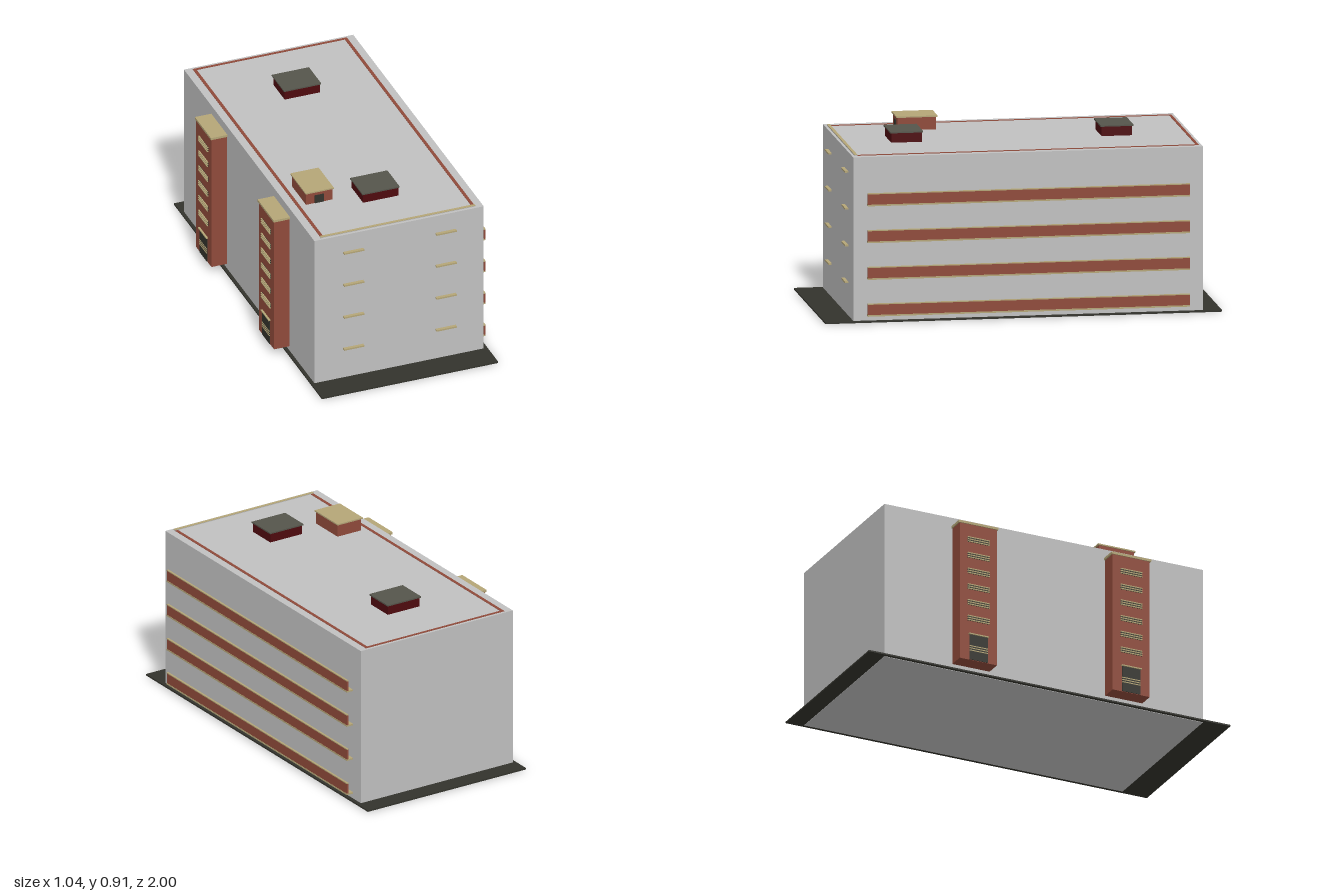
import * as THREE from 'three';

const mat = (name, color) => {
  const m = new THREE.MeshStandardMaterial({ color });
  m.name = name;
  return m;
};

export function createModel() {
  const wall = mat('light grey wall', 0xc0c0c0);
  const brick = mat('red brick', 0x8f4a3a);
  const tan = mat('tan trim', 0xb4a577);
  const dark = mat('dark asphalt', 0x33332c);
  const maroon = mat('maroon', 0x4e0a0e);
  const slate = mat('slate cap', 0x55554b);

  const model = new THREE.Group();
  model.name = 'apartmentBlock';

  // Box given by its limits on each axis
  const box = (parent, name, material, [x0, x1], [y0, y1], [z0, z1]) => {
    const mesh = new THREE.Mesh(new THREE.BoxGeometry(x1 - x0, y1 - y0, z1 - z0), material);
    mesh.position.set((x0 + x1) / 2, (y0 + y1) / 2, (z0 + z1) / 2);
    mesh.name = name;
    parent.add(mesh);
    return mesh;
  };
  const group = (name) => {
    const g = new THREE.Group();
    g.name = name;
    model.add(g);
    return g;
  };

  // Ground and main block
  const roofY = 0.837;
  box(model, 'ground', dark, [-0.442, 0.5], [0.002, 0.01], [-1, 1]);
  box(model, 'mainBlock', wall, [-0.425, 0.48], [0, roofY], [-0.907, 0.856]);

  // Roof edging: flat brick lines on three sides, raised kerb at the front
  const edging = group('roofEdging');
  const lineY = [roofY, roofY + 0.002];
  box(edging, 'leftLine', brick, [0.424, 0.44], lineY, [-0.893, 0.828]);
  box(edging, 'rightLine', brick, [-0.384, -0.368], lineY, [-0.893, 0.828]);
  box(edging, 'backLine', brick, [-0.368, 0.424], lineY, [-0.893, -0.879]);
  box(edging, 'frontKerb', wall, [-0.386, 0.441], [roofY, 0.841], [0.828, 0.843]);
  box(edging, 'kerbTop', tan, [-0.386, 0.441], [0.841, 0.843], [0.828, 0.843]);

  // Roof stair house with door
  const house = group('roofStairHouse');
  box(house, 'houseWalls', brick, [-0.336, -0.195], [roofY, 0.901], [0.325, 0.518]);
  box(house, 'houseCap', tan, [-0.341, -0.19], [0.901, 0.908], [0.318, 0.525]);
  box(house, 'houseDoor', dark, [-0.29, -0.24], [roofY, 0.882], [0.518, 0.521]);

  // Roof vents
  for (const z of [-0.533, 0.527]) {
    const vent = group('roofVent');
    box(vent, 'ventWalls', maroon, [-0.065, 0.123], [roofY, 0.885], [z - 0.077, z + 0.077]);
    box(vent, 'ventCap', slate, [-0.071, 0.128], [0.885, 0.892], [z - 0.083, z + 0.083]);
  }

  // Four storeys: long balcony on the left side, two ledges on the front
  for (let i = 0; i < 4; i++) {
    const y = 0.036 + i * 0.186;
    const balcony = group('balcony');
    const z = [-0.836, 0.788];
    box(balcony, 'balconySlab', tan, [0.48, 0.517], [y, y + 0.008], z);
    box(balcony, 'balconyRail', brick, [0.508, 0.516], [y + 0.008, y + 0.06], z);
    box(balcony, 'railCap', tan, [0.507, 0.517], [y + 0.06, y + 0.065], z);
    for (const x of [-0.218, 0.276]) {
      const ly = 0.174 + i * 0.186;
      box(model, 'frontLedge', tan, [x - 0.054, x + 0.054], [ly, ly + 0.008], [0.856, 0.873]);
    }
  }

  // Stair towers on the right side
  for (const z of [-0.428, 0.418]) {
    const tower = group('stairTower');
    const span = (half) => [z - half, z + half];
    box(tower, 'towerWalls', brick, [-0.508, -0.425], [0.036, 0.778], span(0.103));
    box(tower, 'towerCap', tan, [-0.513, -0.425], [0.778, 0.79], span(0.109));

    // Louvred windows
    for (let i = 0; i < 6; i++) {
      const y = 0.25 + i * 0.0862;
      box(tower, 'windowPane', dark, [-0.51, -0.508], [y, y + 0.028], span(0.06));
      for (let k = 0; k < 3; k++) {
        const by = y + k * 0.0115;
        box(tower, 'windowLouvre', tan, [-0.515, -0.508], [by, by + 0.005], span(0.06));
      }
    }

    // Entrance door with lattice bars and canopy
    box(tower, 'entranceDoor', dark, [-0.512, -0.508], [0.038, 0.174], span(0.05));
    box(tower, 'entranceCanopy', tan, [-0.518, -0.508], [0.174, 0.18], span(0.055));
    for (const y of [0.085, 0.097, 0.109]) {
      box(tower, 'doorBar', tan, [-0.514, -0.508], [y, y + 0.005], span(0.05));
    }
  }
  return model;
}
